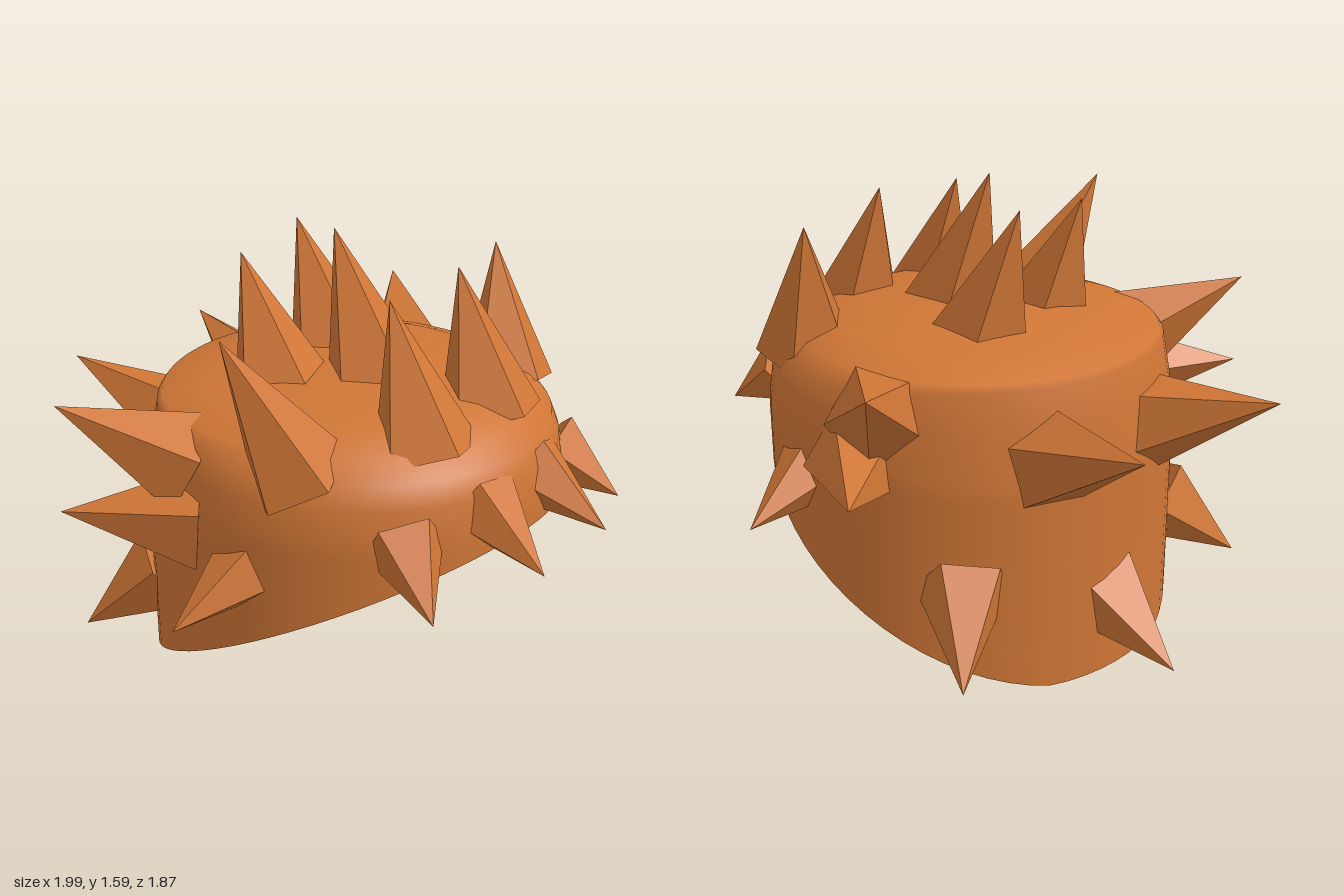
import * as THREE from 'three';

const SEG = 64, CX = 0.09, R = 0.71, WALL = 0.05;

// Height of the slanted opening at a given x
const rimY = (x) => Math.max(0, 0.555 * (x + 0.57));

// Crown profiles [radius fraction, height]: rounded on +x, sharper on -x
const ROUND = [[1, 0.79], [0.995, 0.85], [0.975, 0.94], [0.935, 1.01], [0.85, 1.07], [0.68, 1.115], [0.4, 1.145], [0, 1.15]];
const SHARP = [[1, 0.69], [0.997, 0.74], [0.97, 0.91], [0.935, 1.045], [0.915, 1.065], [0.72, 1.105], [0.45, 1.14], [0, 1.15]];

// Rows of one shell skin at angle t, from the rim up to the crown
function skinRows(t, inset) {
  const r = R - inset, c = Math.cos(t);
  const k = THREE.MathUtils.smoothstep(c, -0.9, 0.3);
  const point = (s, y) => [CX + r * s * c, y, r * s * Math.sin(t)];
  const rows = [point(1, rimY(CX + r * c))];
  ROUND.forEach((p, i) => {
    const q = SHARP[i];
    rows.push(point(q[0] + (p[0] - q[0]) * k, q[1] + (p[1] - q[1]) * k - inset));
  });
  return rows;
}

// Closed ring surface from a function giving the rows at each angle
function ringSurface(rowsAt) {
  const pos = [], index = [];
  let n = 0;
  for (let j = 0; j < SEG; j++) {
    const rows = rowsAt((j / SEG) * Math.PI * 2);
    n = rows.length;
    rows.forEach((p) => pos.push(...p));
  }
  for (let j = 0; j < SEG; j++) {
    for (let i = 0; i < n - 1; i++) {
      const a = j * n + i, c = ((j + 1) % SEG) * n + i;
      index.push(a, a + 1, c, c, a + 1, c + 1);
    }
  }
  const geo = new THREE.BufferGeometry();
  geo.setAttribute('position', new THREE.Float32BufferAttribute(pos, 3));
  geo.setIndex(index);
  geo.computeVertexNormals();
  return geo;
}

// Five-sided spike from base centre to tip, its base sunk into the shell
function spikeGeometry(base, tip, radius) {
  const b = new THREE.Vector3(...base), t = new THREE.Vector3(...tip);
  const dir = t.clone().sub(b), len = dir.length();
  dir.normalize();
  const sink = 0.05, h = len + sink;
  const geo = new THREE.ConeGeometry(radius * (h / len), h, 5).toNonIndexed();
  geo.translate(0, h / 2 - sink, 0);
  geo.applyQuaternion(new THREE.Quaternion().setFromUnitVectors(new THREE.Vector3(0, 1, 0), dir));
  geo.translate(...base);
  geo.computeVertexNormals();
  return geo;
}

export function createModel() {
  const group = new THREE.Group();
  const orange = new THREE.MeshStandardMaterial({ color: 0xd07636 });
  orange.name = 'orange';
  const add = (name, geo, parent = group) => {
    const mesh = new THREE.Mesh(geo, orange);
    mesh.name = name;
    parent.add(mesh);
  };

  // Hollow cap: outer skin, inner skin and the rim between them
  add('outerShell', ringSurface((t) => skinRows(t, 0)));
  add('innerShell', ringSurface((t) => skinRows(t, WALL).reverse()));
  add('rim', ringSurface((t) => [skinRows(t, WALL)[0], skinRows(t, 0)[0]]));

  // Spikes: [base centre, tip, base radius]
  const sets = {
    crownSpike: [
      [[0.17, 1.13, 0], [0, 1.59, 0], 0.17],
      [[-0.13, 1.12, -0.15], [-0.29, 1.54, -0.15], 0.165],
      [[-0.08, 1.12, 0.2], [-0.23, 1.51, 0.2], 0.16],
      [[0.53, 1.08, -0.14], [0.39, 1.5, -0.15], 0.16],
      [[0.53, 1.07, 0.22], [0.38, 1.48, 0.2], 0.16],
      [[0.37, 1.05, -0.5], [0.26, 1.46, -0.57], 0.155],
      [[0.29, 1.03, 0.55], [0.165, 1.45, 0.72], 0.155],
    ],
    backSpike: [
      [[-0.53, 0.81, 0.2], [-1, 0.98, 0.29], 0.17],
      [[-0.53, 0.81, -0.24], [-1, 0.98, -0.36], 0.17],
      [[-0.57, 0.25, 0], [-0.87, 0.08, 0], 0.15],
    ],
    rimSpike: [
      [[0.75, 0.86, 0.16], [0.98, 0.74, 0.2], 0.11],
      [[0.75, 0.88, -0.13], [0.99, 0.75, -0.155], 0.11],
      [[0.65, 0.8, 0.44], [0.82, 0.67, 0.545], 0.11],
      [[0.66, 0.82, -0.42], [0.855, 0.69, -0.495], 0.11],
    ],
    sideSpike: [],
  };

  // Side spikes mirrored across z
  for (const s of [1, -1]) {
    sets.sideSpike.push(
      [[-0.15, 0.95, 0.62 * s], [-0.41, 1.14, 0.875 * s], 0.16],
      [[-0.08, 0.77, 0.66 * s], [-0.37, 0.8, 0.92 * s], 0.155],
      [[0.17, 0.66, 0.68 * s], [0.13, 0.56, 0.935 * s], 0.11],
      [[-0.4, 0.36, 0.5 * s], [-0.59, 0.17, 0.68 * s], 0.14],
    );
  }
  for (const [name, list] of Object.entries(sets)) {
    const part = new THREE.Group();
    part.name = name + 's';
    list.forEach((s) => add(name, spikeGeometry(...s), part));
    group.add(part);
  }
  return group;
}
